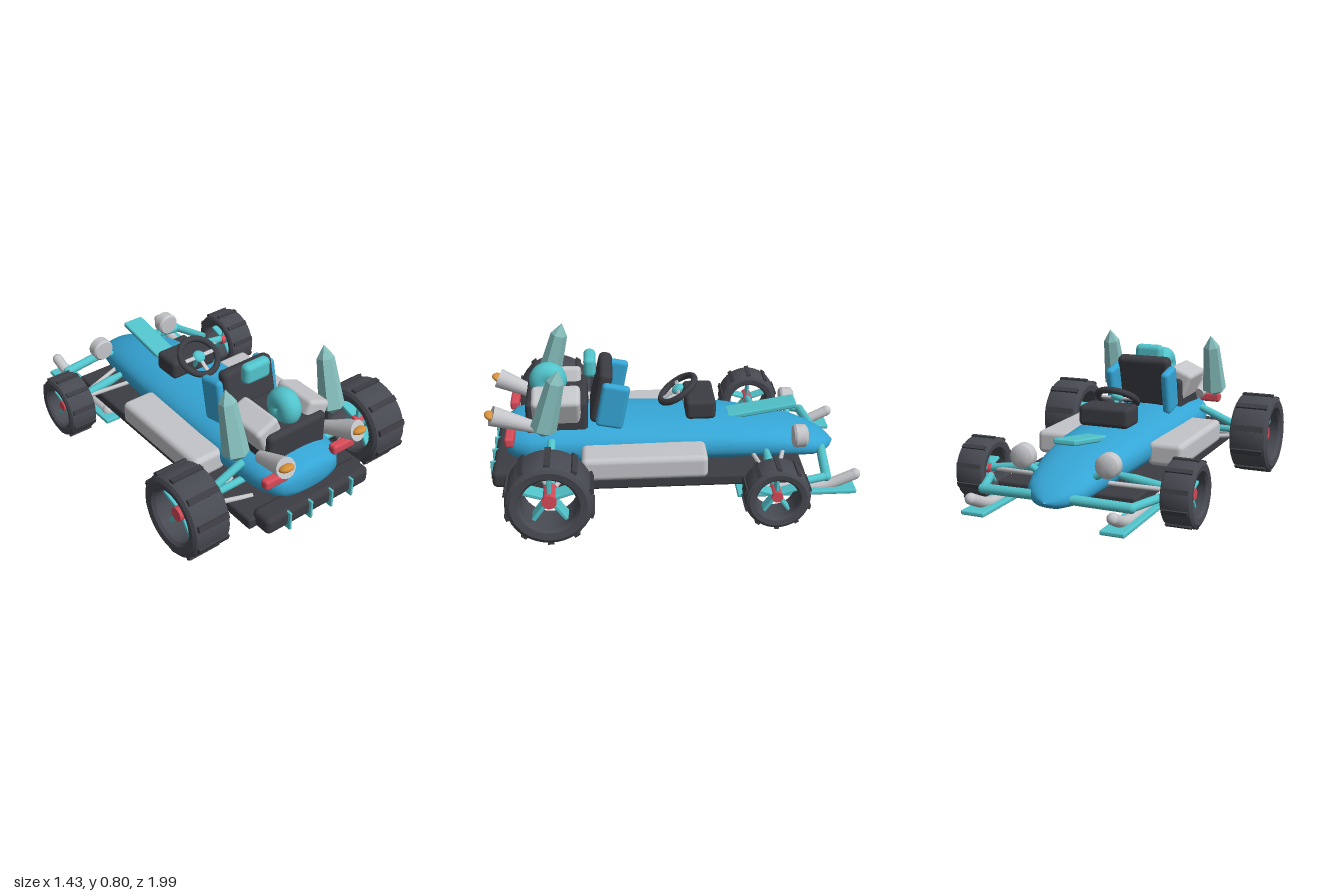
import * as THREE from 'three';
import { toCreasedNormals } from 'three/addons/utils/BufferGeometryUtils.js';
import { RoundedBoxGeometry } from 'three/addons/geometries/RoundedBoxGeometry.js';

const mat = (name, color, extra = {}) => Object.assign(new THREE.MeshStandardMaterial({ color, ...extra }), { name });
const blue = mat('body blue', 0x35a6d6);
const teal = mat('teal trim', 0x52c4cc);
const dark = mat('dark plastic', 0x3c3d43);
const rubber = mat('tyre rubber', 0x484a52);
const silver = mat('silver metal', 0xc4c5c9);
const red = mat('red', 0xd64a58);
const orange = mat('exhaust glow', 0xd8923c);
const crystal = mat('crystal', 0x86bfbd, { flatShading: true });

const V = (x, y, z) => new THREE.Vector3(x, y, z);

function add(parent, name, geo, material, pos = [0, 0, 0], rot = [0, 0, 0]) {
  const m = new THREE.Mesh(geo, material);
  m.name = name;
  m.position.set(...pos);
  m.rotation.set(...rot);
  parent.add(m);
  return m;
}

const rbox = (w, h, d, r = 0.02) => new RoundedBoxGeometry(w, h, d, 3, r);
const lathe = (pts, seg) =>
  toCreasedNormals(new THREE.LatheGeometry(pts.map(p => new THREE.Vector2(...p)), seg), 0.6);

// Straight rod between two points, radius r0 at a and r1 at b
function rod(parent, name, a, b, r0, material, r1 = r0) {
  const dir = b.clone().sub(a);
  const m = add(parent, name, new THREE.CylinderGeometry(r1, r0, dir.length(), 16), material);
  m.position.copy(a).add(b).multiplyScalar(0.5);
  m.quaternion.setFromUnitVectors(V(0, 1, 0), dir.normalize());
  return m;
}

// Hull lofted through rounded sections [z, half width, bottom, top]
function hullGeometry(stations, n = 36) {
  const pos = [], idx = [];
  const sq = (v) => Math.sign(v) * Math.pow(Math.abs(v), 0.85);
  for (const [z, w, b, t] of stations)
    for (let j = 0; j < n; j++) {
      const a = (j / n) * Math.PI * 2;
      pos.push(sq(Math.cos(a)) * w, (b + t) / 2 + sq(Math.sin(a)) * (t - b) / 2, z);
    }
  for (let i = 0; i < stations.length - 1; i++)
    for (let j = 0; j < n; j++) {
      const a = i * n + j, b = i * n + (j + 1) % n;
      idx.push(a, b, b + n, a, b + n, a + n);
    }
  const g = new THREE.BufferGeometry();
  g.setAttribute('position', new THREE.Float32BufferAttribute(pos, 3));
  g.setIndex(idx);
  g.computeVertexNormals();
  return g;
}

// Wheel with its axle along x
function wheel(R, w) {
  const g = new THREE.Group();
  const ri = R * 0.64, h = w / 2, c = R * 0.13;
  const prof = [[ri, -h * 0.8], [ri + c * 0.5, -h * 0.95], [R - c, -h], [R - c * 0.3, -h * 0.9], [R, -h * 0.68],
    [R, h * 0.68], [R - c * 0.3, h * 0.9], [R - c, h], [ri + c * 0.5, h * 0.95], [ri, h * 0.8], [ri, -h * 0.8]];
  add(g, 'tyre', lathe(prof, 40), rubber, [0, 0, 0], [0, 0, Math.PI / 2]);
  for (let i = 0; i < 10; i++) {
    const a = (i / 10) * Math.PI * 2;
    add(g, 'tread', new THREE.BoxGeometry(w * 0.82, R * 0.08, R * 0.14), dark,
      [0, Math.cos(a) * R * 1.005, Math.sin(a) * R * 1.005], [a, 0, 0]);
  }
  for (let i = 0; i < 5; i++) {
    const a = (i / 5) * Math.PI * 2;
    add(g, 'spoke', rbox(w * 0.4, ri * 1.02, R * 0.1, 0.006), teal,
      [0, Math.cos(a) * ri * 0.52, Math.sin(a) * ri * 0.52], [a, 0, 0]);
  }
  add(g, 'hub', new THREE.CylinderGeometry(R * 0.17, R * 0.17, w * 0.6, 20), red, [0, 0, 0], [0, 0, Math.PI / 2]);
  return g;
}

export function createModel() {
  const kart = new THREE.Group();
  kart.name = 'kart';

  // Body and floor
  add(kart, 'body', hullGeometry([
    [-0.927, 0.002, 0.178, 0.182], [-0.905, 0.05, 0.155, 0.205], [-0.87, 0.1, 0.14, 0.235], [-0.8, 0.155, 0.135, 0.27],
    [-0.7, 0.185, 0.14, 0.31], [-0.55, 0.215, 0.15, 0.35], [-0.3, 0.247, 0.16, 0.387], [0, 0.262, 0.165, 0.402],
    [0.3, 0.27, 0.17, 0.412], [0.6, 0.268, 0.17, 0.415], [0.75, 0.252, 0.175, 0.408], [0.84, 0.222, 0.19, 0.395],
    [0.885, 0.18, 0.21, 0.37], [0.9, 0.12, 0.24, 0.34], [0.903, 0.002, 0.288, 0.292]]), blue);
  add(kart, 'floor', rbox(0.77, 0.065, 1.575, 0.015), dark, [0, 0.16, 0.083]);
  add(kart, 'rearBumper', rbox(0.69, 0.1, 0.13, 0.03), dark, [0, 0.18, 0.9]);
  for (const x of [-0.21, -0.07, 0.07, 0.21])
    add(kart, 'bumperFin', rbox(0.014, 0.107, 0.13, 0.004), teal, [x, 0.172, 0.917]);
  add(kart, 'hoodBlade', rbox(0.125, 0.03, 0.4, 0.01), teal, [0, 0.398, -0.505], [0.165, 0, 0]);

  // Seat
  add(kart, 'seatBack', rbox(0.32, 0.3, 0.075, 0.03), dark, [0, 0.55, 0.375], [-0.23, 0, 0]);
  add(kart, 'headrest', rbox(0.165, 0.115, 0.065, 0.028), teal, [0, 0.695, 0.432]);

  // Dashboard and steering wheel
  add(kart, 'dashboard', rbox(0.29, 0.112, 0.165, 0.025), dark, [0, 0.457, -0.162]);
  const steering = new THREE.Group();
  steering.name = 'steeringWheel';
  steering.position.set(0, 0.525, -0.045);
  steering.rotation.x = -0.98;
  kart.add(steering);
  add(steering, 'steeringRim', new THREE.TorusGeometry(0.11, 0.018, 12, 36), dark);
  add(steering, 'steeringHub', new THREE.SphereGeometry(0.036, 20, 14), teal).scale.z = 0.6;
  add(steering, 'crossSpoke', rbox(0.21, 0.022, 0.014, 0.005), silver);
  add(steering, 'lowerSpoke', rbox(0.022, 0.11, 0.014, 0.005), silver, [0, -0.055, 0]);
  rod(kart, 'steeringColumn', V(0, 0.52, -0.05), V(0, 0.4, -0.115), 0.015, teal);

  // Engine
  add(kart, 'engineBlock', rbox(0.375, 0.2, 0.33, 0.025), dark, [0, 0.45, 0.615]);
  add(kart, 'blower', new THREE.TorusGeometry(0.042, 0.06, 20, 32), teal, [0, 0.6, 0.66], [0, Math.PI / 2, 0]);

  for (const s of [1, -1]) {
    const side = new THREE.Group();
    side.name = s > 0 ? 'leftSide' : 'rightSide';
    kart.add(side);
    const P = (x, y, z) => V(x * s, y, z);

    // Wheels
    const rear = wheel(0.223, 0.222), front = wheel(0.17, 0.165);
    rear.name = 'rearWheel';
    rear.position.set(0.603 * s, 0.232, 0.648);
    front.name = 'frontWheel';
    front.position.set(0.573 * s, 0.186, -0.515);
    side.add(rear, front);

    // Suspension
    rod(side, 'rearAxle', P(0.2, 0.24, 0.645), P(0.6, 0.235, 0.645), 0.02, teal);
    rod(side, 'rearStrut', P(0.25, 0.355, 0.645), P(0.52, 0.245, 0.645), 0.022, teal);
    for (const z of [0.56, 0.73]) rod(side, 'rearWishbone', P(0.25, 0.19, z), P(0.54, 0.21, 0.645), 0.013, silver);
    rod(side, 'frontAxle', P(0.2, 0.24, -0.515), P(0.3, 0.225, -0.515), 0.015, teal, 0.026);
    rod(side, 'frontAxle', P(0.3, 0.225, -0.515), P(0.58, 0.187, -0.515), 0.026, teal, 0.02);
    for (const z of [-0.61, -0.44]) rod(side, 'frontWishbone', P(0.19, 0.22, z), P(0.52, 0.19, -0.515), 0.012, silver);

    // Side pod and seat bolster
    add(side, 'sidePod', rbox(0.2, 0.13, 0.665, 0.03), silver, [0.33 * s, 0.265, 0.155]);
    add(side, 'seatBolster', rbox(0.05, 0.25, 0.15, 0.022), blue, [0.17 * s, 0.515, 0.315], [-0.2, 0, 0]);

    // Cylinder head, exhaust and tail light
    add(side, 'cylinderHead', rbox(0.145, 0.18, 0.26, 0.025), silver, [0.145 * s, 0.515, 0.615], [0, 0, -0.4 * s]);
    rod(side, 'exhaust', P(0.205, 0.42, 0.73), P(0.238, 0.512, 0.952), 0.033, silver, 0.055);
    add(side, 'exhaustGlow', new THREE.SphereGeometry(1, 20, 12), orange, [0.24 * s, 0.515, 0.955], [-0.35, 0, 0])
      .scale.set(0.042, 0.02, 0.035);
    add(side, 'tailLight', rbox(0.15, 0.055, 0.05, 0.015), red, [0.225 * s, 0.375, 0.865]);

    // Crystal fin
    add(side, 'crystalFin', new THREE.LatheGeometry([[0, 0], [0.07, 0.045], [0.047, 0.32], [0, 0.39]]
      .map(p => new THREE.Vector2(...p)), 6), crystal, [0.322 * s, 0.425, 0.69], [-0.27, 0, 0]);

    // Headlight
    add(side, 'headlight', lathe([[0, -0.042], [0.045, -0.038], [0.062, -0.025], [0.064, 0.028], [0.055, 0.04], [0, 0.042]], 28),
      silver, [0.235 * s, 0.335, -0.695], [Math.PI / 2, 0, 0]);
    rod(side, 'headlightMount', P(0.15, 0.26, -0.69), P(0.235, 0.31, -0.695), 0.018, teal);

    // Front bumper bars
    rod(side, 'bumperBar', P(0.05, 0.19, -0.845), P(0.405, 0.175, -0.812), 0.026, teal);
    rod(side, 'bumperBarEnd', P(0.4, 0.175, -0.822), P(0.475, 0.18, -0.62), 0.022, teal);
    add(side, 'bumperJoint', new THREE.SphereGeometry(0.026, 16, 12), teal, [0.405 * s, 0.175, -0.812]);

    // Front skid plate and upturned runner
    add(side, 'skidPlate', rbox(0.13, 0.024, 0.64, 0.008), teal, [0.375 * s, 0.093, -0.655]);
    const path = new THREE.CatmullRomCurve3([P(0.375, 0.1, -0.42), P(0.375, 0.1, -0.65), P(0.375, 0.107, -0.82), P(0.38, 0.17, -0.975)]);
    add(side, 'runner', new THREE.TubeGeometry(path, 24, 0.03, 14), silver);
    add(side, 'runnerTip', new THREE.SphereGeometry(0.03, 16, 12), silver, [0.38 * s, 0.17, -0.972]);
    add(side, 'runnerEnd', new THREE.SphereGeometry(0.036, 16, 12), silver, [0.375 * s, 0.103, -0.42]);
  }
  return kart;
}
